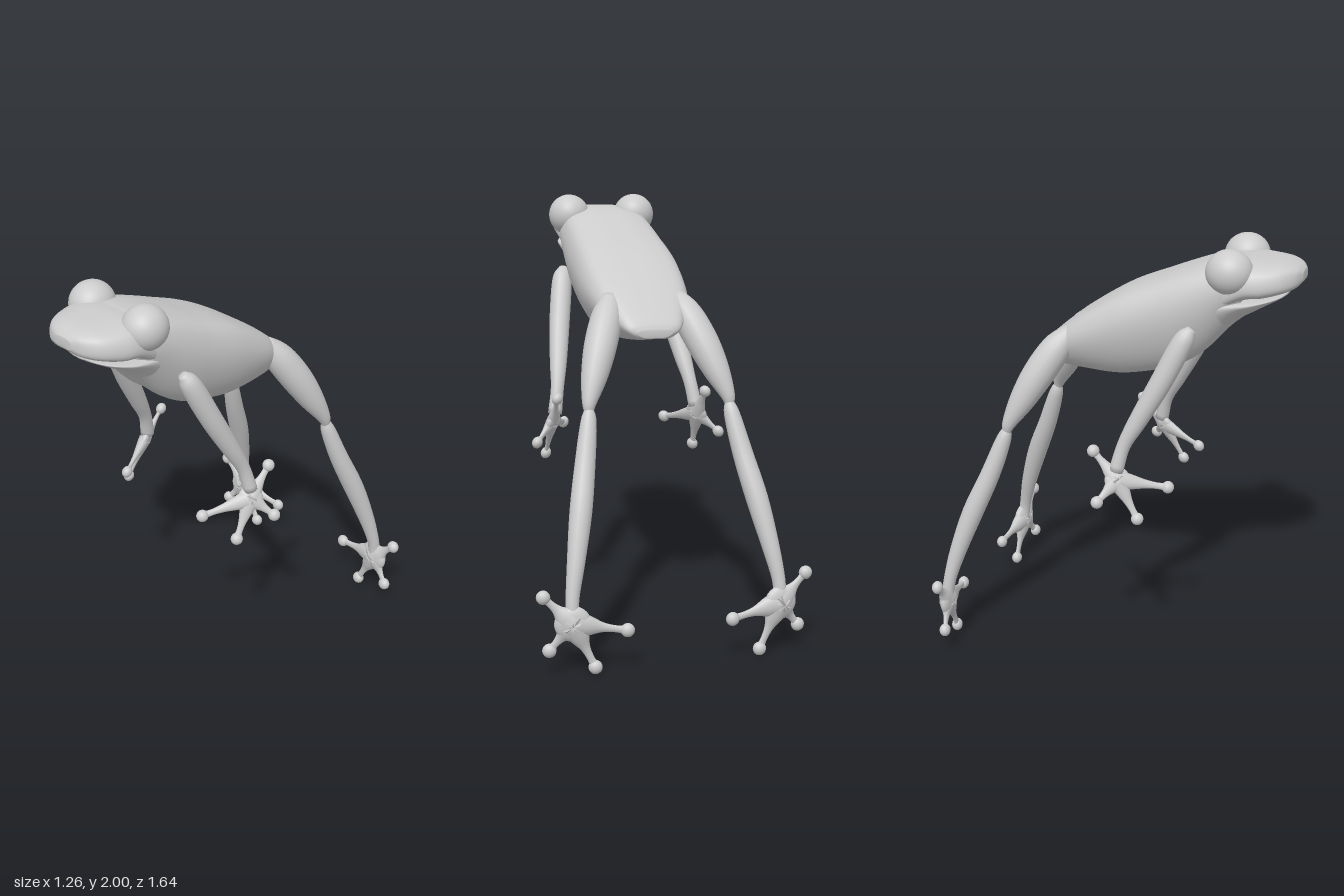
import * as THREE from 'three';

const V = (x, y, z) => new THREE.Vector3(x, y, z);
const material = new THREE.MeshStandardMaterial({ color: 0xcccccc });

function addMesh(parent, name, geometry) {
  const mesh = new THREE.Mesh(geometry, material);
  mesh.name = name;
  parent.add(mesh);
  return mesh;
}

// Closed smooth skin over equal-sized rings, capped at both ends
function skin(rings) {
  const n = rings[0].length, last = rings.length - 1;
  const pos = [], index = [];
  rings.forEach(ring => ring.forEach(p => pos.push(p.x, p.y, p.z)));
  for (let i = 0; i < last; i++) {
    for (let j = 0; j < n; j++) {
      const k = (j + 1) % n, a = i * n + j, b = i * n + k;
      index.push(a, b, a + n, b, b + n, a + n);
    }
  }
  [0, last].forEach(i => {
    const c = rings[i].reduce((s, p) => s.add(p), V(0, 0, 0)).divideScalar(n);
    const centre = pos.length / 3;
    pos.push(c.x, c.y, c.z);
    for (let j = 0; j < n; j++) {
      const a = i * n + j, b = i * n + (j + 1) % n;
      if (i) index.push(centre, a, b);
      else index.push(centre, b, a);
    }
  });
  const g = new THREE.BufferGeometry();
  g.setAttribute('position', new THREE.Float32BufferAttribute(pos, 3));
  g.setIndex(index);
  g.computeVertexNormals();
  return g;
}

// Loft along z: stations are [z, half width, bottom, top];
// profile is half a section, bottom to top, in fractions of width and height
function loft(stations, profile, steps = 40, sides = 48) {
  const size = new THREE.CatmullRomCurve3(stations.map(s => V(s[1], s[2], s[3])), false, 'catmullrom');
  const along = new THREE.CatmullRomCurve3(stations.map(s => V(s[0], 0, 0)), false, 'catmullrom');
  const mirrored = profile.slice(1, -1).reverse().map(([x, y]) => [-x, y]);
  const section = new THREE.CatmullRomCurve3(
    [...profile, ...mirrored].map(([x, y]) => V(x, y, 0)), true, 'centripetal').getPoints(sides).slice(0, -1);
  const rings = [];
  for (let i = 0; i <= steps; i++) {
    const s = size.getPoint(i / steps), z = along.getPoint(i / steps).x;
    rings.push(section.map(p => V(p.x * s.x, s.y + p.y * (s.z - s.y), z)));
  }
  return skin(rings);
}

// Round limb through [x, y, z, radius] points; flat squashes it along ref
function limb(points, ref = V(1, 0, 0), flat = 1, steps = 24, sides = 16) {
  const path = new THREE.CatmullRomCurve3(points.map(p => V(p[0], p[1], p[2])), false, 'catmullrom');
  const radius = new THREE.CatmullRomCurve3(points.map(p => V(p[3], 0, 0)), false, 'catmullrom');
  const rings = [];
  for (let i = 0; i <= steps; i++) {
    const c = path.getPoint(i / steps), r = radius.getPoint(i / steps).x;
    const t = path.getTangent(i / steps);
    const n = t.clone().cross(ref).normalize(), b = t.clone().cross(n);
    rings.push(Array.from({ length: sides }, (_, j) => {
      const a = j / sides * Math.PI * 2;
      return c.clone().addScaledVector(n, r * Math.cos(a)).addScaledVector(b, r * flat * Math.sin(a));
    }));
  }
  return skin(rings);
}

// Palm with splayed toes that end in round pads
function webbedFoot(name, centre, tips, palm, pad) {
  const foot = new THREE.Group();
  foot.name = name;
  const c = V(...centre), ends = tips.map(t => V(...t));
  const normal = ends[2].clone().sub(ends[0]).cross(ends[3].clone().sub(ends[1])).normalize();
  const facing = new THREE.Quaternion().setFromUnitVectors(V(0, 0, 1), normal);

  const disc = addMesh(foot, 'palm', new THREE.SphereGeometry(1, 24, 16));
  disc.scale.set(palm, palm, palm * 0.42);
  disc.position.copy(c);
  disc.quaternion.copy(facing);

  ends.forEach(end => {
    const stations = [[0, palm * 0.8], [0.3, palm * 0.56], [0.55, pad * 0.72], [0.8, pad * 0.52], [1, pad * 0.7]];
    const points = stations.map(([t, r]) => [...c.clone().lerp(end, t).toArray(), r]);
    addMesh(foot, 'toe', limb(points, normal, 0.65, 16, 12));
    const ball = addMesh(foot, 'toePad', new THREE.SphereGeometry(pad, 16, 12));
    ball.position.copy(end);
    ball.quaternion.copy(facing);
    ball.scale.z = 0.85;
  });
  return foot;
}

export function createModel() {
  const model = new THREE.Group();
  model.name = 'frog';

  // Trunk, flat-bellied and sloping down to the rump
  addMesh(model, 'body', loft([
    [-0.415, 0.08, 1.395, 1.43], [-0.395, 0.125, 1.388, 1.465], [-0.33, 0.165, 1.38, 1.53],
    [-0.2, 0.225, 1.373, 1.635], [0, 0.25, 1.37, 1.76], [0.2, 0.245, 1.41, 1.845],
    [0.3, 0.24, 1.45, 1.885], [0.4, 0.232, 1.52, 1.92], [0.5, 0.222, 1.63, 1.94], [0.57, 0.195, 1.69, 1.94],
  ], [[0, 0], [0.52, 0.01], [0.8, 0.2], [0.97, 0.48], [0.98, 0.7], [0.84, 0.9], [0.45, 0.985], [0, 1]], 60));

  // Snout and open lower jaw
  addMesh(model, 'upperJaw', loft([
    [0.48, 0.215, 1.72, 1.935], [0.58, 0.225, 1.778, 1.945], [0.66, 0.212, 1.79, 1.942],
    [0.74, 0.172, 1.81, 1.935], [0.79, 0.115, 1.83, 1.92], [0.816, 0.05, 1.855, 1.9],
  ], [[0, 0], [0.7, 0.01], [0.96, 0.15], [1, 0.42], [0.87, 0.8], [0.55, 0.96], [0, 1]]));
  addMesh(model, 'lowerJaw', loft([
    [0.45, 0.21, 1.575, 1.76], [0.55, 0.213, 1.67, 1.768], [0.62, 0.202, 1.715, 1.775],
    [0.69, 0.165, 1.755, 1.785], [0.73, 0.105, 1.775, 1.79], [0.746, 0.05, 1.783, 1.794],
  ], [[0, 0], [0.5, 0.06], [0.85, 0.45], [1, 0.9], [0.85, 1], [0, 1]]));

  for (const [s, side] of [[1, 'left'], [-1, 'right']]) {
    const flip = pts => pts.map(([x, ...rest]) => [x * s, ...rest]);

    // Bulging eye
    const eye = addMesh(model, side + 'Eye', new THREE.SphereGeometry(0.1, 32, 24));
    eye.position.set(0.168 * s, 1.9, 0.515);
    eye.scale.z = 1.05;

    // Front leg and hand
    addMesh(model, side + 'FrontLeg', limb(flip([
      [0.235, 1.65, 0.37, 0.02], [0.25, 1.59, 0.335, 0.048], [0.285, 1.4, 0.245, 0.05],
      [0.315, 1.22, 0.15, 0.042], [0.335, 1.1, 0.09, 0.032], [0.355, 0.98, 0.06, 0.034],
    ])));
    model.add(webbedFoot(side + 'Hand', [0.365 * s, 0.94, 0.07], flip([
      [0.367, 1.07, -0.045], [0.262, 0.89, 0.28], [0.378, 0.765, 0.17], [0.455, 0.857, 0.002],
    ]), 0.06, 0.029));

    // Thigh, shin and hind foot
    addMesh(model, side + 'Thigh', limb(flip([
      [0.155, 1.56, -0.22, 0.04], [0.19, 1.48, -0.285, 0.07], [0.24, 1.36, -0.36, 0.074],
      [0.285, 1.24, -0.425, 0.06], [0.32, 1.14, -0.475, 0.035], [0.328, 1.09, -0.49, 0.02],
    ])));
    addMesh(model, side + 'Shin', limb(flip([
      [0.325, 1.11, -0.485, 0.018], [0.333, 1.05, -0.505, 0.036], [0.365, 0.88, -0.565, 0.046],
      [0.405, 0.69, -0.645, 0.05], [0.445, 0.49, -0.715, 0.04], [0.472, 0.34, -0.755, 0.03],
      [0.475, 0.24, -0.77, 0.03],
    ])));
    model.add(webbedFoot(side + 'HindFoot', [0.475 * s, 0.235, -0.77], flip([
      [0.6, 0.36, -0.757], [0.573, 0.115, -0.745], [0.378, 0.032, -0.778], [0.24, 0.193, -0.8],
    ]), 0.08, 0.031));
  }
  return model;
}
